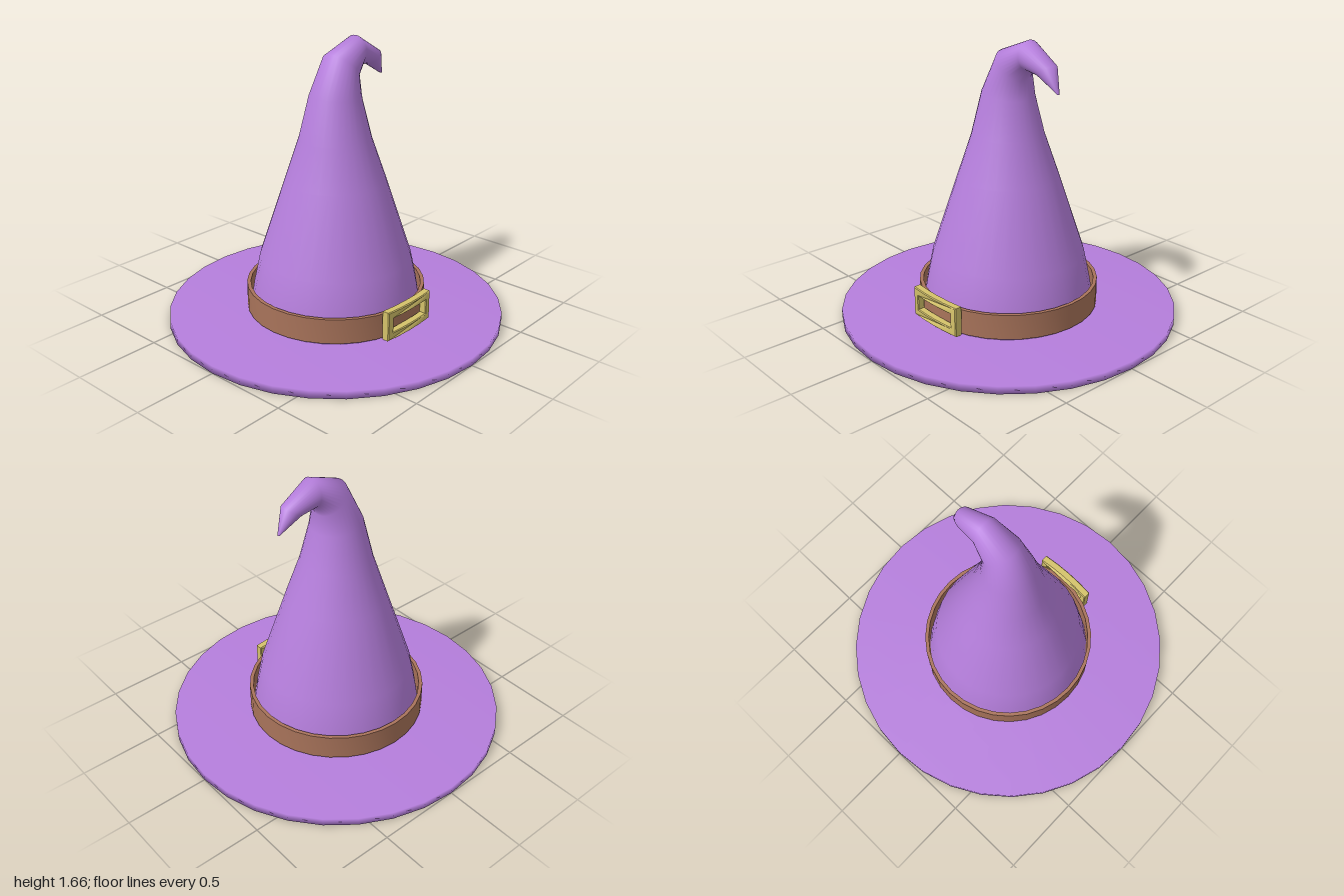
import * as THREE from 'three';
import { toCreasedNormals } from 'three/addons/utils/BufferGeometryUtils.js';

const SIDES = 32;

function lathe(profile) {
  return new THREE.LatheGeometry(profile.map(([r, y]) => new THREE.Vector2(r, y)), SIDES);
}

// Crown skin: each ring is given by its front and back points [z, y]
function crownGeometry(rings) {
  const pos = [], index = [];
  for (const [zf, yf, zb, yb] of rings) {
    const zc = (zf + zb) / 2, yc = (yf + yb) / 2;
    const r = Math.hypot(zf - zb, yf - yb) / 2;
    for (let j = 0; j < SIDES; j++) {
      const a = (j / SIDES) * Math.PI * 2, c = Math.cos(a);
      pos.push(r * Math.sin(a), yc + (yf - yc) * c, zc + (zf - zc) * c);
    }
  }
  for (let i = 0; i < rings.length - 1; i++) {
    for (let j = 0; j < SIDES; j++) {
      const k = (j + 1) % SIDES;
      const a = i * SIDES + j, b = i * SIDES + k;
      index.push(a, b, b + SIDES, a, b + SIDES, a + SIDES);
    }
  }
  // Close the tip
  const last = (rings.length - 1) * SIDES;
  for (let j = 1; j < SIDES - 1; j++) index.push(last, last + j, last + j + 1);
  const g = new THREE.BufferGeometry();
  g.setAttribute('position', new THREE.Float32BufferAttribute(pos, 3));
  g.setIndex(index);
  g.computeVertexNormals();
  return g;
}

// Rectangle outline with extra points along the long sides so it can bend
function rectPoints(w, h) {
  const pts = [], n = 4;
  for (let i = 0; i <= n; i++) pts.push(new THREE.Vector2(-w + (2 * w * i) / n, -h));
  for (let i = 0; i <= n; i++) pts.push(new THREE.Vector2(w - (2 * w * i) / n, h));
  return pts;
}

function buckleGeometry() {
  const shape = new THREE.Shape(rectPoints(0.185, 0.083));
  shape.holes.push(new THREE.Path(rectPoints(0.153, 0.048).reverse()));
  const g = new THREE.ExtrudeGeometry(shape, {
    depth: 0.038, bevelEnabled: true, bevelThickness: 0.005, bevelSize: 0.005, bevelSegments: 1,
  });
  // Bend gently around the band
  const p = g.attributes.position;
  for (let i = 0; i < p.count; i++) {
    const t = p.getX(i) / 0.19;
    p.setZ(i, p.getZ(i) + 0.012 * (1 - t * t));
  }
  return toCreasedNormals(g, 0.6);
}

export function createModel() {
  const purple = new THREE.MeshStandardMaterial({ color: 0xb57edc });
  purple.name = 'purple felt';
  const brown = new THREE.MeshStandardMaterial({ color: 0xa8735a });
  brown.name = 'brown leather';
  const gold = new THREE.MeshStandardMaterial({ color: 0xd4c26a });
  gold.name = 'gold metal';

  const hat = new THREE.Group();
  hat.name = 'hat';
  const add = (name, geometry, material) => {
    const mesh = new THREE.Mesh(geometry, material);
    mesh.name = name;
    hat.add(mesh);
    return mesh;
  };

  // Flat round brim with softly shaded rim
  add('brim', lathe([[0, 0], [1, 0], [1, 0.046], [0, 0.046]]), purple);

  // Crown tapering upward, then bending over backwards to a drooping tip
  add('crown', crownGeometry([
    [0.515, 0.04, -0.515, 0.04],
    [0.487, 0.21, -0.487, 0.21],
    [0.45, 0.385, -0.45, 0.385],
    [0.296, 0.85, -0.296, 0.85],
    [0.214, 1.1, -0.208, 1.1],
    [0.152, 1.355, -0.152, 1.32],
    [0.038, 1.585, -0.133, 1.43],
    [-0.17, 1.665, -0.172, 1.497],
    [-0.362, 1.553, -0.262, 1.484],
    [-0.406, 1.403, -0.388, 1.41],
  ]), purple);

  // Open band standing slightly proud of the crown
  add('band', toCreasedNormals(lathe([
    [0.51, 0.058], [0.532, 0.058], [0.532, 0.208], [0.51, 0.208], [0.51, 0.058],
  ]), 0.6), brown);

  // Buckle on the hat's left side
  const buckle = add('buckle', buckleGeometry(), gold);
  buckle.rotation.y = Math.PI / 2;
  buckle.position.set(0.521, 0.152, 0);

  return hat;
}
